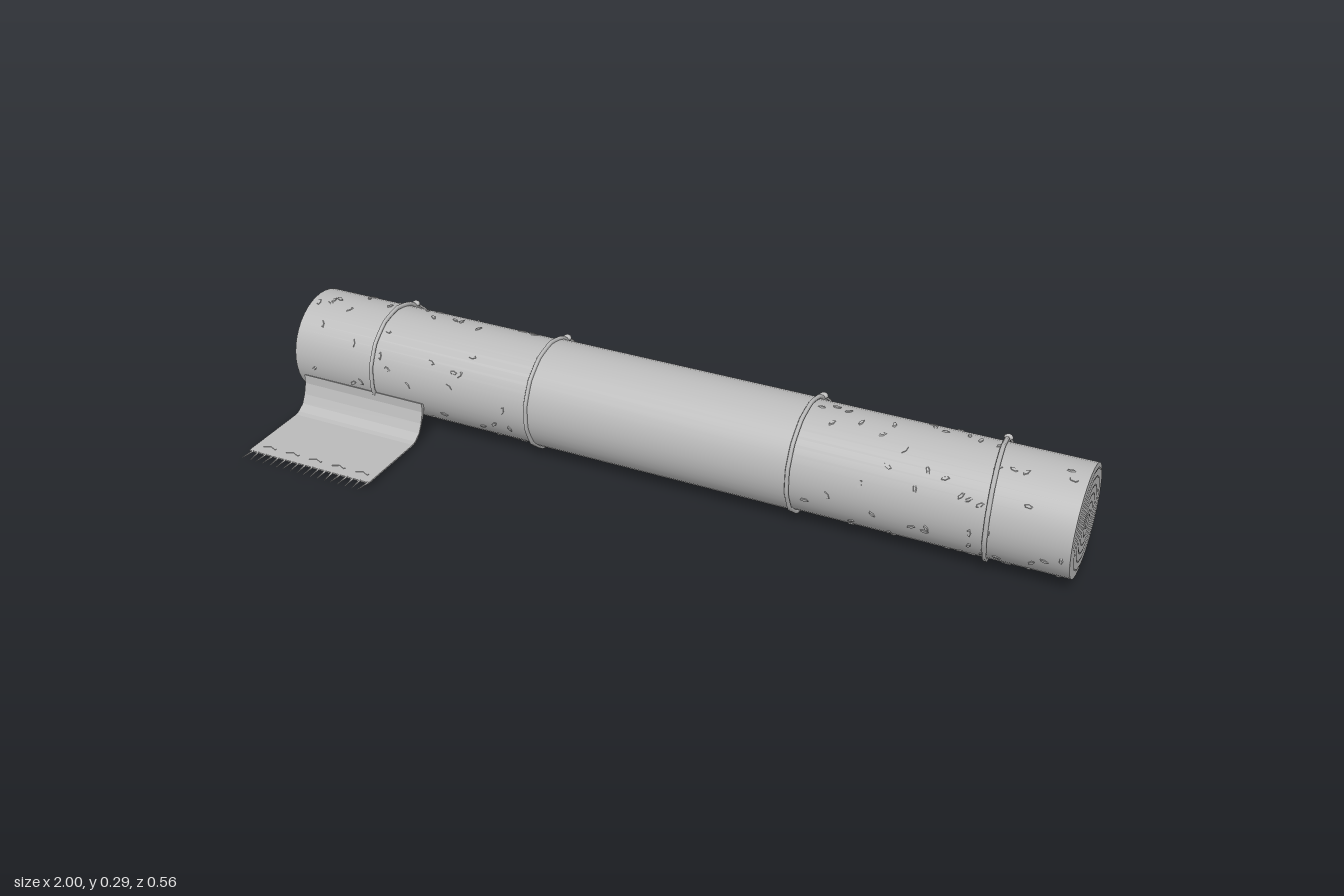
import * as THREE from 'three';
import { mergeGeometries } from 'three/addons/utils/BufferGeometryUtils.js';

const CY = 0.143, CZ = -0.135, R = 0.132;

export function createModel() {
  const model = new THREE.Group();
  const cloth = new THREE.MeshStandardMaterial({ color: 0xbababa });
  cloth.name = 'cloth grey';
  cloth.side = THREE.DoubleSide;
  const seam = new THREE.MeshStandardMaterial({ color: 0x858585 });
  seam.name = 'seam grey';
  seam.side = THREE.DoubleSide;

  const add = (name, geometry, material = cloth, parent = model) => {
    const mesh = new THREE.Mesh(geometry, material);
    mesh.name = name;
    parent.add(mesh);
    return mesh;
  };
  let seed = 7;
  const rand = () => (seed = (seed * 16807) % 2147483647) / 2147483647;
  // point around the roll axis: angle 0 is the back, growing upward
  const around = (x, r, a) =>
    new THREE.Vector3(x, CY + r * Math.sin(a), CZ - r * Math.cos(a));

  // Rolled carpet with a slightly thicker middle wrap
  const along = (r, length, x, open) =>
    new THREE.CylinderGeometry(r, r, length, 40, 1, open)
      .rotateZ(Math.PI / 2).translate(x, CY, CZ);
  add('carpetRoll', along(R, 1.994, 0, false));
  add('middleWrap', along(R + 0.003, 0.675, 0.0125, true));

  // Spiral edges of the rolled layers, shown on both ends
  for (const side of [-1, 1]) {
    const pos = [], index = [], turns = 5.5, perTurn = 16, n = turns * perTurn;
    for (let i = 0; i <= n; i++) {
      const a = (i / perTurn) * Math.PI * 2;
      const r = 0.022 + 0.106 * (i / n);
      for (const d of [-0.0022, 0.0022]) pos.push(...around(side * 0.9995, r + d, a).toArray());
      if (i < n) {
        const k = i * 2;
        index.push(k, k + 1, k + 2, k + 1, k + 3, k + 2);
      }
    }
    const g = new THREE.BufferGeometry();
    g.setAttribute('position', new THREE.Float32BufferAttribute(pos, 3));
    g.setIndex(index);
    g.computeVertexNormals();
    add(side > 0 ? 'leftSpiral' : 'rightSpiral', g, seam);
  }
  add('rollCore', new THREE.CylinderGeometry(0.018, 0.018, 2, 16)
    .rotateZ(Math.PI / 2).translate(0, CY, CZ));

  // Tied cords: loop, knot and two hanging ends; the last loop is tilted
  [[-0.765, 0], [-0.325, 0], [0.35, 0], [0.797, 0.014]].forEach(([x, lean], i) => {
    const cord = new THREE.Group();
    cord.name = 'cord' + (i + 1);
    model.add(cord);
    const at = (r, a, dx = 0) => around(x - lean * Math.cos(a) + dx, r, a);
    const loop = [];
    for (let k = 0; k < 14; k++) loop.push(at(0.1375, (k / 14) * Math.PI * 2 + 0.22));
    add('cordLoop', new THREE.TubeGeometry(
      new THREE.CatmullRomCurve3(loop, true, 'catmullrom', 0.2), 56, 0.0055, 6, true), cloth, cord);
    const knotAngle = 0.91;
    const knot = at(0.142, knotAngle);
    add('cordKnot', new THREE.SphereGeometry(0.008, 8, 6)
      .scale(1.4, 1, 1).translate(knot.x, knot.y, knot.z), cloth, cord);
    for (const [dx, end] of [[0.02, -0.62], [0.008, 0.45]]) {
      const tail = [];
      for (let k = 0; k <= 5; k++) {
        const t = k / 5;
        const a = knotAngle + (end - knotAngle) * t;
        tail.push(at(0.141 + 0.014 * t * Math.max(0, -end), a, dx * Math.sin(t * 2.6)));
      }
      add('cordTail', new THREE.TubeGeometry(new THREE.CatmullRomCurve3(tail), 14, 0.003, 5), cloth, cord);
    }
  });

  // Loose corner: thin bent sheet drawn away from the roll
  const center = [[0.245, 0.014], [0.05, 0.014], [0.038, 0.017], [0.018, 0.03],
    [0.006, 0.052], [-0.003, 0.08], [-0.003, 0.104]];
  const shape = new THREE.Shape();
  center.forEach(([z, y], i) => (i ? shape.lineTo(z, y) : shape.moveTo(z, y)));
  shape.lineTo(-0.012, 0.1);
  shape.lineTo(-0.012, 0.078);
  shape.lineTo(0.003, 0.048);
  shape.lineTo(0.016, 0.026);
  shape.lineTo(0.036, 0.013);
  shape.lineTo(0.05, 0.0105);
  shape.lineTo(0.245, 0.0105);
  shape.closePath();
  const flap = new THREE.ExtrudeGeometry(shape, { depth: 0.352, bevelEnabled: false });
  flap.rotateY(-Math.PI / 2); // profile x becomes z, depth becomes -x
  flap.translate(-0.624, 0, 0);
  add('looseCorner', flap);

  // Fringe along the free edge
  const fringe = [];
  for (let i = 0; i < 18; i++) {
    const g = new THREE.CylinderGeometry(0.001, 0.0028, 0.038, 5);
    g.rotateX(Math.PI / 2).rotateY((rand() - 0.5) * 0.3);
    g.translate(-0.968 + i * 0.0199, 0.0125, 0.262);
    fringe.push(g);
  }
  add('fringe', mergeGeometries(fringe));

  // Woven flecks scattered over both outer parts of the roll
  const flecks = [];
  const fleck = (x, a) => {
    const g = new THREE.CylinderGeometry(0.006 + rand() * 0.005, 0.011, 0.003, 5);
    g.scale(1, 1, 0.45).rotateY(rand() * Math.PI);
    g.rotateX(-Math.PI / 2 + a); // outward direction on the roll
    const p = around(x, R + 0.0005, a);
    return g.translate(p.x, p.y, p.z);
  };
  for (let i = 0; i < 190; i++) {
    const right = i % 2 === 0;
    const x = right ? -0.98 + rand() * 0.64 : 0.37 + rand() * 0.61;
    flecks.push(fleck(x, rand() * Math.PI * 2));
  }
  add('rollFlecks', mergeGeometries(flecks));

  // Row of motifs near the fringe of the loose corner
  const motifs = [];
  for (let i = 0; i < 5; i++) {
    for (const s of [-1, 1]) {
      const g = new THREE.BoxGeometry(0.02, 0.002, 0.005);
      g.rotateY(-s * 0.45).translate(-0.935 + i * 0.068 + s * 0.009, 0.0145, 0.212);
      motifs.push(g);
    }
  }
  add('cornerMotifs', mergeGeometries(motifs));

  return model;
}
